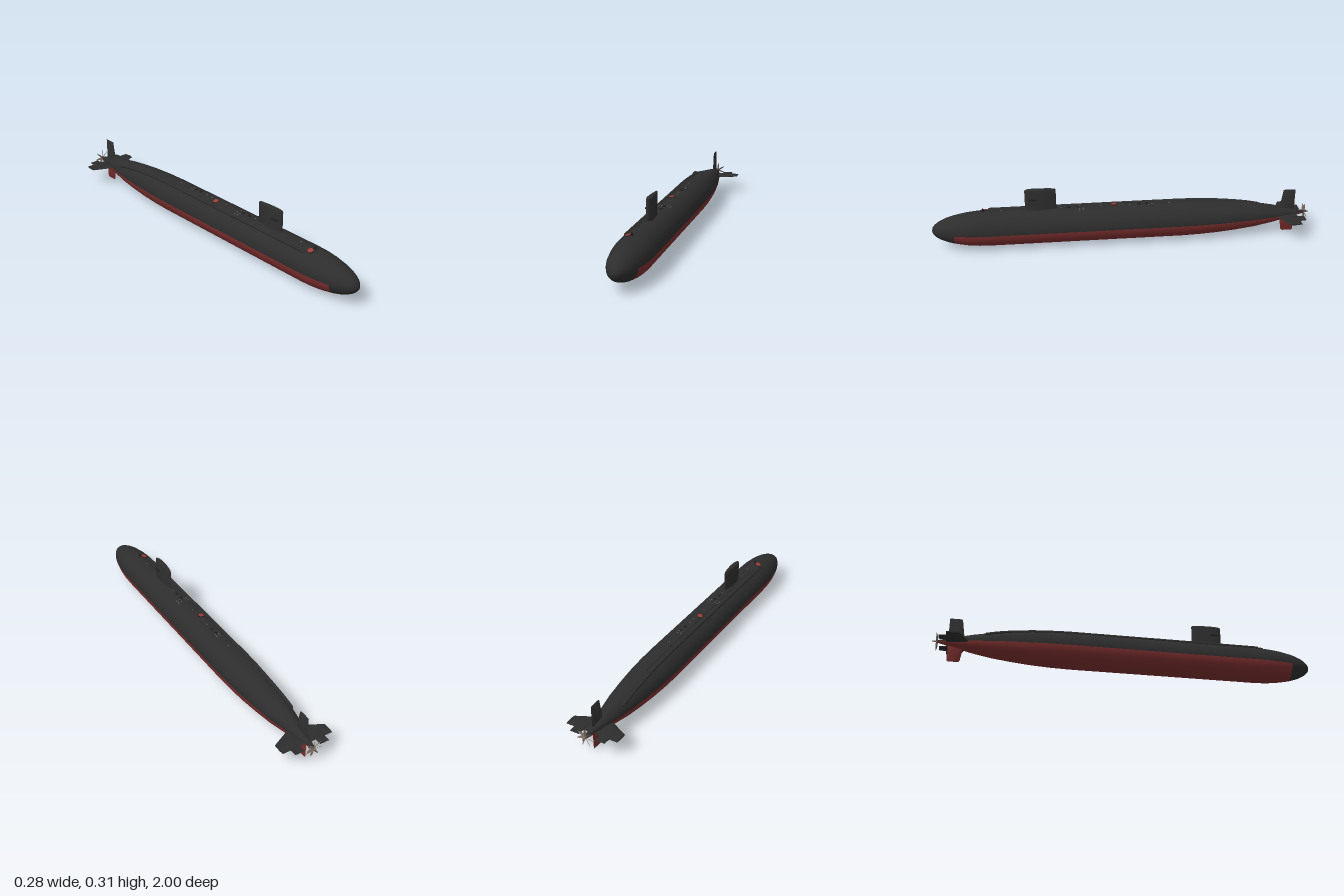
import * as THREE from 'three';
import { toCreasedNormals } from 'three/addons/utils/BufferGeometryUtils.js';

const mat = (name, color, side = THREE.FrontSide) => {
  const m = new THREE.MeshStandardMaterial({ color, side });
  m.name = name;
  return m;
};
const CY = 0.105, R = 0.094; // hull axis height and radius

// Hull profile: [z, radius] from stern to bow
const profile = [[-0.975, 0.006], [-0.95, 0.012], [-0.88, 0.028], [-0.8, 0.047], [-0.7, 0.065],
  [-0.6, 0.077], [-0.5, 0.086], [-0.4, 0.0915], [-0.3, R], [0, R], [0.4, R], [0.7, R]];
const NOSE_SPLIT = 0.885;
for (const z of [0.76, 0.82, NOSE_SPLIT, 0.92, 0.95, 0.97, 0.985, 0.995, 1]) {
  profile.push([z, R * Math.sqrt(Math.max(0, 1 - ((z - 0.7) / 0.3) ** 2))]);
}
function hullRadius(z) {
  const i = Math.max(1, profile.findIndex(p => p[0] >= z));
  const [z0, r0] = profile[i - 1], [z1, r1] = profile[i];
  return r0 + (r1 - r0) * (z - z0) / (z1 - z0);
}

// Part of the hull shell between two angles (0 = keel)
function shell(points, from, to, segments) {
  const pts = points.map(([z, r]) => new THREE.Vector2(r, z));
  return new THREE.LatheGeometry(pts, segments, from, to - from)
    .rotateX(Math.PI / 2).translate(0, CY, 0);
}

// Upright foil lofted through sections [height, frontZ, backZ, thickness], capped on top
function foil(sections, n = 20) {
  const pos = [], idx = [];
  for (const [h, front, back, t] of sections) {
    for (let i = 0; i < n; i++) {
      const a = i / n * Math.PI * 2, c = Math.cos(a);
      pos.push(t / 2 * Math.sin(a) * (0.92 + 0.35 * c), h, (front + back) / 2 + (front - back) / 2 * c);
    }
  }
  for (let s = 0; s < sections.length - 1; s++) {
    for (let i = 0; i < n; i++) {
      const a = s * n + i, b = s * n + (i + 1) % n;
      idx.push(a, b, a + n, b, b + n, a + n);
    }
  }
  const [h, front, back] = sections[sections.length - 1], base = (sections.length - 1) * n;
  pos.push(0, h, (front + back) / 2);
  for (let i = 0; i < n; i++) idx.push(base + i, base + (i + 1) % n, base + n);
  const g = new THREE.BufferGeometry();
  g.setAttribute('position', new THREE.Float32BufferAttribute(pos, 3));
  g.setIndex(idx);
  return toCreasedNormals(g, 0.7);
}

export function createModel() {
  const model = new THREE.Group();
  const black = mat('hull black', 0x2d2d2d);
  const red = mat('antifouling red', 0x7a2e2e);
  const hatchRed = mat('hatch red', 0xa03c34);
  const dark = mat('dark fittings', 0x1e1e1e);
  const grey = mat('deck grey', 0x858585);
  const bronze = mat('propeller bronze', 0x75675f, THREE.DoubleSide);
  const body = new THREE.Group();
  body.name = 'submarine';
  body.position.x = -0.002;
  model.add(body);
  const add = (name, geometry, material, parent = body) => {
    const m = new THREE.Mesh(geometry, material);
    m.name = name;
    parent.add(m);
    return m;
  };
  // Set a part on the upper hull surface, tilted to match it
  const onHull = (name, geometry, material, x, z, lift = 0) => {
    const r = hullRadius(z), m = add(name, geometry, material);
    const a = Math.asin(x / r);
    m.position.set((r + lift) * Math.sin(a), CY + (r + lift) * Math.cos(a), z);
    m.rotation.z = -a;
    return m;
  };

  // Hull: black topsides and bow, red underside
  const w = Math.PI / 2 - 0.06;
  const split = profile.findIndex(p => p[0] === NOSE_SPLIT);
  add('upperHull', shell(profile, w, Math.PI * 2 - w, 24), black);
  add('lowerHull', shell(profile.slice(0, split + 1), -w, w, 22), red);
  add('lowerBow', shell(profile.slice(split), -w, w, 22), black);

  // Sail with retracted planes
  add('sail', foil([[0.185, 0.518, 0.35, 0.033], [0.2, 0.516, 0.354, 0.031], [0.303, 0.516, 0.355, 0.031],
    [0.309, 0.514, 0.357, 0.028], [0.311, 0.508, 0.362, 0.022]], 28), black);
  for (const s of [-1, 1]) {
    const plane = add('sailPlane', new THREE.BoxGeometry(0.008, 0.006, 0.035), dark);
    plane.position.set(s * 0.0155, 0.257, 0.475);
  }

  // Rudders
  add('upperRudder', foil([[0, -0.835, -0.92, 0.012], [0.132, -0.855, -0.92, 0.008], [0.134, -0.86, -0.918, 0.005]])
    .translate(0, CY, 0), black);
  add('lowerRudder', foil([[0, -0.838, -0.92, 0.012], [0.1, -0.855, -0.92, 0.008], [0.105, -0.862, -0.918, 0.004]])
    .rotateZ(Math.PI).translate(0, CY, 0), red);

  // Stern planes with stepped trailing edges
  const lead = x => -0.82 - (x - 0.045) * 0.49;
  const spans = [[0, -0.93], [0.045, -0.93], [0.0455, -0.965], [0.094, -0.965], [0.095, -0.93], [0.139, -0.93]];
  for (const s of [-1, 1]) {
    add('sternPlane', foil(spans.map(([x, back]) => [x, lead(x), back, 0.009]))
      .rotateZ(-s * Math.PI / 2).translate(0, 0.1, 0), black);
  }

  // Propeller with seven swept blades
  const propeller = new THREE.Group();
  propeller.name = 'propeller';
  propeller.position.set(0, CY, -0.975);
  body.add(propeller);
  add('hub', new THREE.CylinderGeometry(0.007, 0.0015, 0.032, 16).rotateX(Math.PI / 2).translate(0, 0, -0.009),
    bronze, propeller);
  const blade = new THREE.Shape();
  blade.moveTo(-0.004, 0.004);
  blade.quadraticCurveTo(-0.011, 0.026, 0.005, 0.047);
  blade.quadraticCurveTo(0.008, 0.026, 0.004, 0.004);
  const bladeGeo = new THREE.ExtrudeGeometry(blade, { depth: 0.0015, bevelEnabled: false, curveSegments: 8 })
    .translate(0, 0, -0.0007).rotateY(0.75);
  for (let i = 0; i < 7; i++) add('blade', bladeGeo, bronze, propeller).rotation.z = i / 7 * Math.PI * 2;

  // Long fairings following the starboard deck
  const fairing = (name, x, z0, z1, radius, material) => {
    const pts = [];
    for (let i = 0; i <= 24; i++) {
      const z = z0 + (z1 - z0) * i / 24, r = hullRadius(z);
      pts.push(new THREE.Vector3(x, CY + Math.sqrt(r * r - x * x), z));
    }
    add(name, new THREE.TubeGeometry(new THREE.CatmullRomCurve3(pts), 60, radius, 10), material);
    for (const p of [pts[0], pts[24]]) {
      add(name + 'End', new THREE.SphereGeometry(radius, 10, 8), material).position.copy(p);
    }
  };
  fairing('arrayFairing', -0.045, -0.73, 0.7, 0.009, black);
  fairing('cableFairing', -0.024, -0.5, 0.62, 0.003, black);

  // Red escape hatches and dark deck hatches
  const disc = (r, h) => new THREE.CylinderGeometry(r, r, h, 20);
  for (const [x, z] of [[-0.013, 0.053], [-0.026, 0.725]]) {
    onHull('hatchRim', disc(0.017, 0.004), dark, x, z);
    onHull('escapeHatch', disc(0.0145, 0.004), hatchRed, x, z, 0.0015);
  }
  for (const z of [0.29, 0.245, -0.08, -0.12]) onHull('deckHatch', disc(0.008, 0.007), dark, 0, z);
  onHull('capstan', disc(0.005, 0.026), dark, -0.003, 0.735, 0.001);

  // Small grey deck markings
  const dash = new THREE.BoxGeometry(0.003, 0.002, 0.007);
  for (const z of [-0.24, -0.03, 0.01, 0.12, 0.33, 0.64]) onHull('deckMark', dash, grey, 0, z);
  for (const z of [-0.145, -0.13, 0.215, 0.235]) {
    for (const x of z > 0 ? [-0.03, -0.015, 0.015, 0.03] : [-0.009, 0.009]) onHull('deckMark', dash, grey, x, z);
  }
  return model;
}
